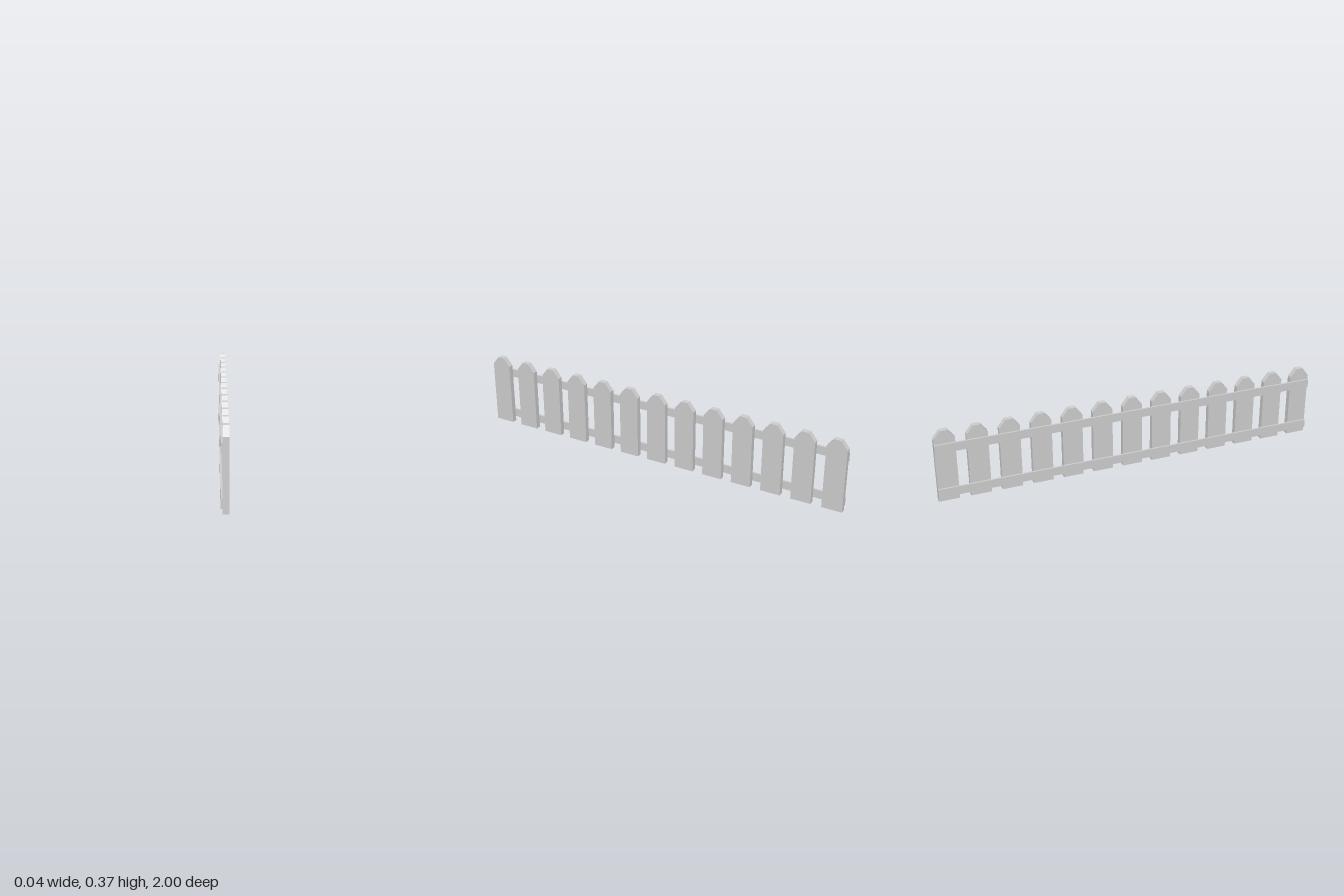
import * as THREE from 'three';

const LENGTH = 2;
const COUNT = 13;
const PICKET = { width: 0.103, height: 0.373, shoulder: 0.33, tip: 0.035, back: -0.009, thick: 0.0275 };
const RAIL = { back: -0.0185, thick: 0.0095, height: 0.044, levels: { lowerRail: 0.047, upperRail: 0.284 } };

// Flat-topped pointed board, extruded and turned so its thickness runs along x
function picketGeometry() {
  const w = PICKET.width / 2, t = PICKET.tip / 2;
  const outline = new THREE.Shape([
    [-w, 0], [w, 0], [w, PICKET.shoulder], [t, PICKET.height], [-t, PICKET.height], [-w, PICKET.shoulder],
  ].map(([x, y]) => new THREE.Vector2(x, y)));
  return new THREE.ExtrudeGeometry(outline, { depth: PICKET.thick, bevelEnabled: false })
    .rotateY(Math.PI / 2)
    .translate(PICKET.back, 0, 0);
}

export function createModel() {
  const fence = new THREE.Group();
  fence.name = 'picketFence';
  const material = new THREE.MeshStandardMaterial({ color: 0xcccccc, flatShading: true });

  // Evenly spaced pickets, the end ones flush with the fence ends
  const pickets = new THREE.Group();
  pickets.name = 'pickets';
  const board = picketGeometry();
  const spacing = (LENGTH - PICKET.width) / (COUNT - 1);
  for (let i = 0; i < COUNT; i++) {
    const picket = new THREE.Mesh(board, material);
    picket.name = `picket${i + 1}`;
    picket.position.z = (i - (COUNT - 1) / 2) * spacing;
    pickets.add(picket);
  }
  fence.add(pickets);

  // Two rails along the -x side of the pickets
  const railGeometry = new THREE.BoxGeometry(RAIL.thick, RAIL.height, LENGTH);
  for (const [name, y] of Object.entries(RAIL.levels)) {
    const rail = new THREE.Mesh(railGeometry, material);
    rail.name = name;
    rail.position.set(RAIL.back + RAIL.thick / 2, y, 0);
    fence.add(rail);
  }
  return fence;
}
